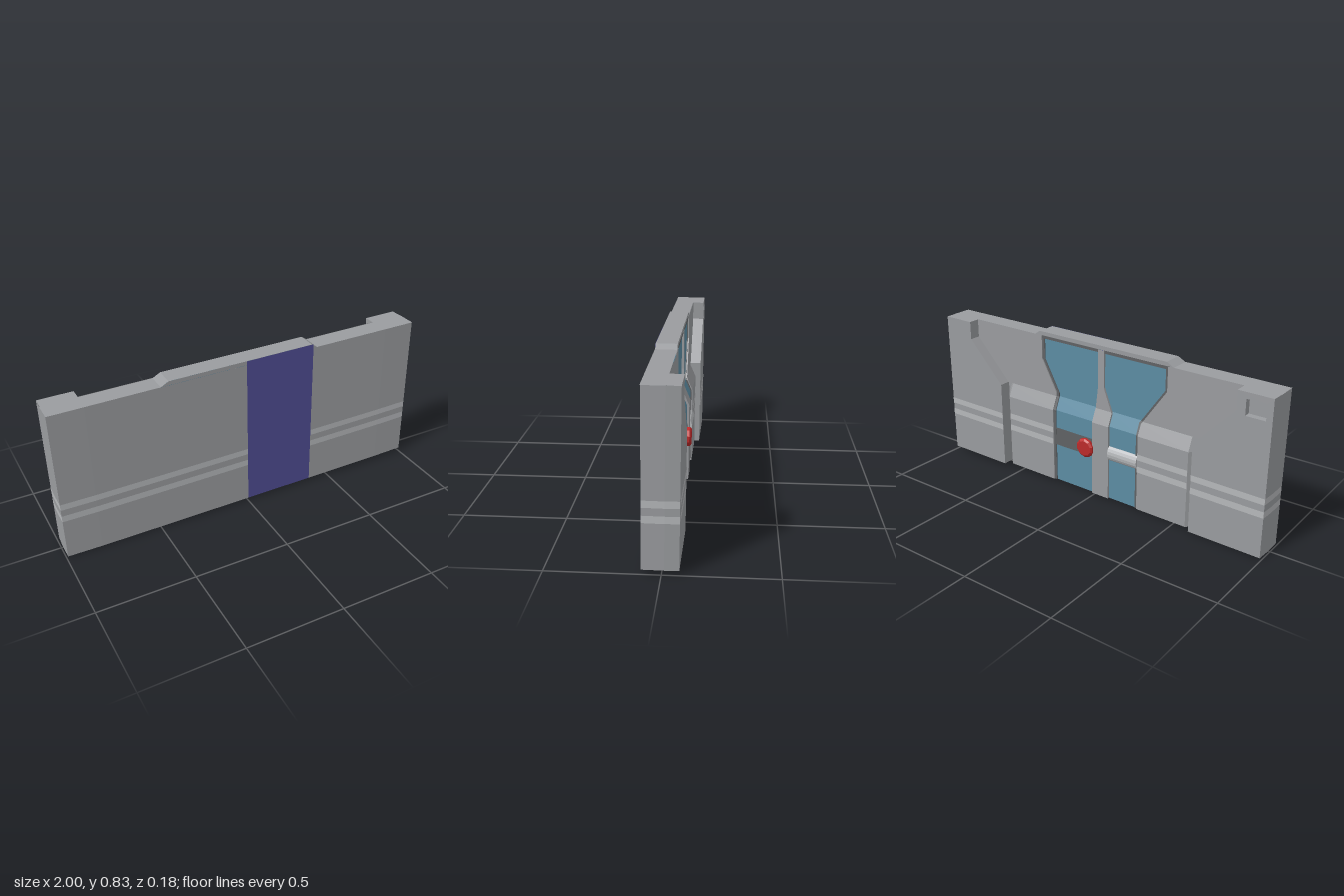
import * as THREE from 'three';

const mat = (color) => new THREE.MeshStandardMaterial({ color, flatShading: true, side: THREE.DoubleSide });

const FRONT = 0.083, INNER = -0.02, POST = -0.083, TOP = 0.797, CREST = 0.818;
const BAND_LO = 0, BAND_HI = 0.378;

// Value of a polyline [[y, v], ...] at height y
function at(line, y) {
  for (let i = 1; i < line.length; i++) {
    const [y0, a] = line[i - 1], [y1, b] = line[i];
    if (y <= y1) return a + (b - a) * (y - y0) / (y1 - y0);
  }
  return line[line.length - 1][1];
}

// Open sheet through rows of points
function loft(rows) {
  const pos = [];
  for (let i = 0; i + 1 < rows.length; i++) {
    for (let k = 0; k + 1 < rows[i].length; k++) {
      const a = rows[i][k], b = rows[i][k + 1], c = rows[i + 1][k + 1], d = rows[i + 1][k];
      pos.push(...a, ...b, ...c, ...a, ...c, ...d);
    }
  }
  const g = new THREE.BufferGeometry();
  g.setAttribute('position', new THREE.Float32BufferAttribute(pos, 3));
  g.computeVertexNormals();
  return g;
}

// Plan line in x/z raised from y0 to y1, and outline in x/y pushed from z0 to z1
const raise = (plan, y0, y1) => loft([y0, y1].map((y) => plan.map(([x, z]) => [x, y, z])));
const push = (line, z0, z1) => loft([z0, z1].map((z) => line.map(([x, y]) => [x, y, z])));

// Depth of the inner trim: thick arm-rest below, thin above
const TRIM = [[0, -0.056], [0.41, -0.056], [0.48, -0.025], [TOP, -0.023]];

// Trim sheet between two edge lines, its sides folded in by depth and splayed out
function panel(lo, hi, levels, { inset = 0, depth = 0.012, splayLo = 0, splayHi = 0 } = {}) {
  return loft(levels.map((y) => {
    const l = at(lo, y), r = at(hi, y), z = at(TRIM, y) + inset;
    return [[l - splayLo, y, z + depth], [l, y, z], [r, y, z], [r + splayHi, y, z + depth]];
  }));
}

const shapeOf = (pts) => new THREE.Shape(pts.map(([x, y]) => new THREE.Vector2(x, y)));
const shift = (line, dx) => line.map(([y, x]) => [y, x + dx]);
const flat = (x) => [[0, x], [TOP, x]];

export function createModel() {
  const grey = mat(0x9a9c9f), light = mat(0xb6b8bb), dark = mat(0x606264);
  const blue = mat(0x5c8ca3), purple = mat(0x4f4c93), red = mat(0xbc2a2a);
  const door = new THREE.Group();
  const add = (name, geometry, material) => {
    const m = new THREE.Mesh(geometry, material);
    m.name = name;
    door.add(m);
    return m;
  };

  // Hollow outer skin in level bands, two of them light stripes, open below
  const end = [[0.82, FRONT - 0.001], [0.995, FRONT - 0.005], [0.995, INNER], [0.991, POST]];
  const leftSkin = [[BAND_HI, FRONT], [0.5, FRONT], ...end];
  const rightSkin = [[BAND_LO, FRONT], [-0.5, FRONT], ...end.map(([x, z]) => [-x, z])];
  const stripes = [[0.212, 0.245], [0.28, 0.312]];
  const cuts = [0, ...stripes.flat(), TOP];
  for (let i = 0; i + 1 < cuts.length; i++) {
    for (const skin of [leftSkin, rightSkin]) {
      add(i % 2 ? 'skinStripe' : 'outerSkin', raise(skin, cuts[i], cuts[i + 1]), i % 2 ? light : grey);
    }
  }

  // Broad purple band in the skin
  add('purpleBand', raise([[BAND_LO, FRONT], [BAND_HI, FRONT]], 0, CREST), purple);

  // Top edge with its raised centre
  const crest = [[-0.45, TOP], [-0.41, CREST], [0.37, CREST], [0.4, TOP]];
  add('topEdge', push([[-0.995, TOP], ...crest, [0.995, TOP]], FRONT - 0.002, INNER), grey);
  for (const z of [FRONT - 0.0015, INNER]) {
    add('crestFace', new THREE.ShapeGeometry(shapeOf(crest)).translate(0, 0, z), grey);
  }

  // End posts, one with a latch pocket
  const inner = [[0.605, 0], [0.605, 0.48], [0.815, 0.7], [0.815, TOP], [0.991, TOP]];
  const pocket = [[-0.96, 0.685], [-0.96, 0.765], [-0.86, 0.765], [-0.86, 0.685]];
  for (const side of [1, -1]) {
    const name = side > 0 ? 'leftPost' : 'rightPost';
    const edge = inner.map(([x, y]) => [x * side, y]);
    const face = shapeOf([...edge, [0.991 * side, 0]]);
    if (side < 0) face.holes.push(shapeOf(pocket));
    add(name + 'Face', new THREE.ShapeGeometry(face).translate(0, 0, POST), grey);
    add(name + 'Edge', push(edge, POST, INNER), grey);
  }
  add('pocketWalls', push([...pocket, pocket[0]], POST, -0.05), grey);
  add('pocketFloor', new THREE.ShapeGeometry(shapeOf(pocket)).translate(0, 0, -0.05), grey);

  // Inner trim: grey fields and centre rib, with blue fields sunk between them
  const leftIn = [[0, 0.262], [0.5, 0.262], [0.67, 0.355], [TOP, 0.355]];
  const rightIn = [[0, -0.28], [0.47, -0.28], [0.67, -0.42], [TOP, -0.42]];
  const ribHi = [[0, 0.003], [0.47, 0.003], [0.6, -0.012], [TOP, -0.012]];
  const ribLo = [[0, -0.1], [0.47, -0.1], [0.6, -0.048], [TOP, -0.048]];
  const lower = [0, 0.41, 0.47, 0.48], upper = [0.48, 0.5, 0.6, 0.67, TOP];
  const all = [0, 0.41, 0.47, 0.48, 0.5, 0.6, 0.67, TOP];
  const splay = 0.035;
  add('leftArmrest', panel(leftIn, flat(0.57), lower, { depth: splay, splayHi: splay }), grey);
  add('rightArmrest', panel(flat(-0.57), rightIn, lower, { depth: splay, splayLo: splay }), grey);
  add('leftUpperTrim', panel(leftIn, flat(0.82), upper), grey);
  add('rightUpperTrim', panel(flat(-0.82), rightIn, upper), grey);
  add('centreRib', panel(ribLo, ribHi, all), grey);
  add('leftBlueField', panel(ribHi, leftIn, all, { inset: 0.011 }), blue);
  add('rightBlueField', panel(rightIn, ribLo, all, { inset: 0.011 }), blue);

  // Dark frames on the outer sides and the top of the blue fields
  add('leftFrame', panel(shift(leftIn, -0.014), leftIn, all, { inset: 0.006, depth: 0.005 }), dark);
  add('rightFrame', panel(rightIn, shift(rightIn, 0.014), all, { inset: 0.006, depth: 0.005 }), dark);
  const rim = [TOP - 0.016, TOP];
  add('leftFrameTop', panel(ribHi, leftIn, rim, { inset: 0.004 }), dark);
  add('rightFrameTop', panel(rightIn, ribLo, rim, { inset: 0.004 }), dark);

  // Stripes carried across the posts and armrests
  for (const [y0, y1] of stripes) {
    for (const side of [1, -1]) {
      const armrestIn = side > 0 ? 0.262 : 0.28;
      for (const [a, b, z] of [[0.991, 0.605, POST], [0.57, armrestIn, -0.056]]) {
        add('innerStripe', raise([[a * side, z - 0.0015], [b * side, z - 0.0015]], y0, y1), light);
      }
    }
  }

  // Crossbar behind the knob, round pull handle and red knob
  add('crossbar', raise([[0.003, -0.04], [0.003, -0.049], [0.262, -0.049], [0.262, -0.04]], 0.212, 0.312), dark);
  const handle = add('pullHandle', new THREE.CylinderGeometry(0.042, 0.042, 0.178, 16).rotateZ(Math.PI / 2), light);
  handle.scale.z = 0.75;
  handle.position.set(-0.19, 0.262, -0.035);
  const knobProfile = [[0, 0], [0.04, 0], [0.052, 0.012], [0.052, 0.026], [0.042, 0.034], [0, 0.034]]
    .map(([r, h]) => new THREE.Vector2(r, h));
  const knob = add('knob', new THREE.LatheGeometry(knobProfile, 10).rotateX(-Math.PI / 2), red);
  knob.position.set(0.045, 0.255, -0.038);

  // The whole panel leans very slightly
  door.rotation.set(-0.011, -0.003, 0.01);
  door.position.set(0.004, 0.012, 0.005);
  door.name = 'doorPanel';
  const model = new THREE.Group();
  model.add(door);
  return model;
}
